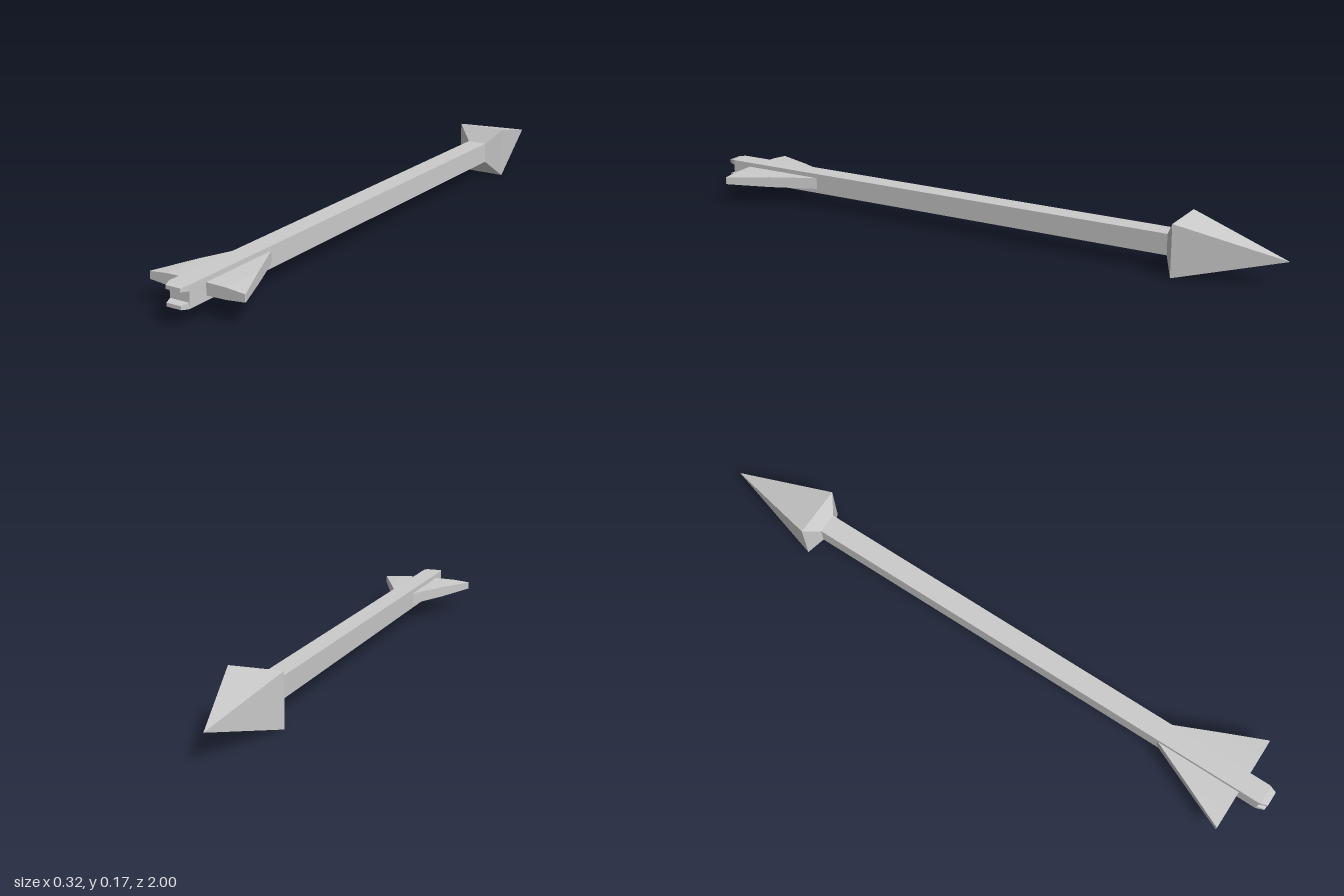
import * as THREE from 'three';

const CY = 0.0825; // height of the arrow's axis
const R = 0.033; // half width of the square shaft

const material = new THREE.MeshStandardMaterial({ color: 0xcccccc, flatShading: true });

// Skin a row of four-cornered sections (counter-clockwise seen from the last one) and cap both ends.
function loft(name, sections) {
  const pos = [];
  const quad = (a, b, c, d) => pos.push(...a, ...b, ...c, ...a, ...c, ...d);
  for (let s = 0; s < sections.length - 1; s++) {
    const a = sections[s], b = sections[s + 1];
    for (let i = 0; i < 4; i++) {
      const j = (i + 1) % 4;
      quad(a[i], a[j], b[j], b[i]);
    }
  }
  const first = sections[0], last = sections[sections.length - 1];
  quad(first[3], first[2], first[1], first[0]);
  quad(last[0], last[1], last[2], last[3]);
  const geo = new THREE.BufferGeometry();
  geo.setAttribute('position', new THREE.Float32BufferAttribute(pos, 3));
  geo.computeVertexNormals();
  const mesh = new THREE.Mesh(geo, material);
  mesh.name = name;
  return mesh;
}

// Rectangle across the z axis
const rectZ = (z, hx, y0, y1) => [[-hx, y0, z], [hx, y0, z], [hx, y1, z], [-hx, y1, z]];

// Rectangle across the x axis
const rectX = (x, hy, z0, z1) => [[x, -hy, z1], [x, -hy, z0], [x, hy, z0], [x, hy, z1]];

export function createModel() {
  const arrow = new THREE.Group();
  arrow.name = 'arrow';
  arrow.position.y = CY;

  // Square shaft, ending at the bottom of the string slot
  arrow.add(loft('shaft', [rectZ(-0.645, R, -R, R), rectZ(0.975, R, -R, R)]));

  // Pyramid head with a bevelled back
  const head = [[-1, 0], [-0.675, CY], [-0.642, R]];
  arrow.add(loft('head', head.map(([z, h]) => rectZ(z, h, -h, h))));

  // Fins and nock prongs come in pairs, half a turn apart about the shaft
  for (const [finName, prongName, turn] of [
    ['leftFin', 'upperNockProng', 0],
    ['rightFin', 'lowerNockProng', Math.PI],
  ]) {
    // Swept fin, thinning in a slight bow towards its tip
    const fin = loft(finName, [
      rectX(0.03, 0.0188, 0.615, 0.907),
      rectX(0.1, 0.0172, 0.77, 0.907),
      rectX(0.16, 0.0115, 0.903, 0.907),
    ]);

    // Prong beside the string slot, tapered at the end
    const prong = loft(prongName, [
      rectZ(0.972, R, 0.016, R),
      rectZ(0.98, 0.031, 0.016, R),
      rectZ(1, 0.024, 0.019, 0.03),
    ]);

    for (const part of [fin, prong]) {
      part.rotation.z = turn;
      arrow.add(part);
    }
  }

  const model = new THREE.Group();
  model.name = 'model';
  model.add(arrow);
  return model;
}
